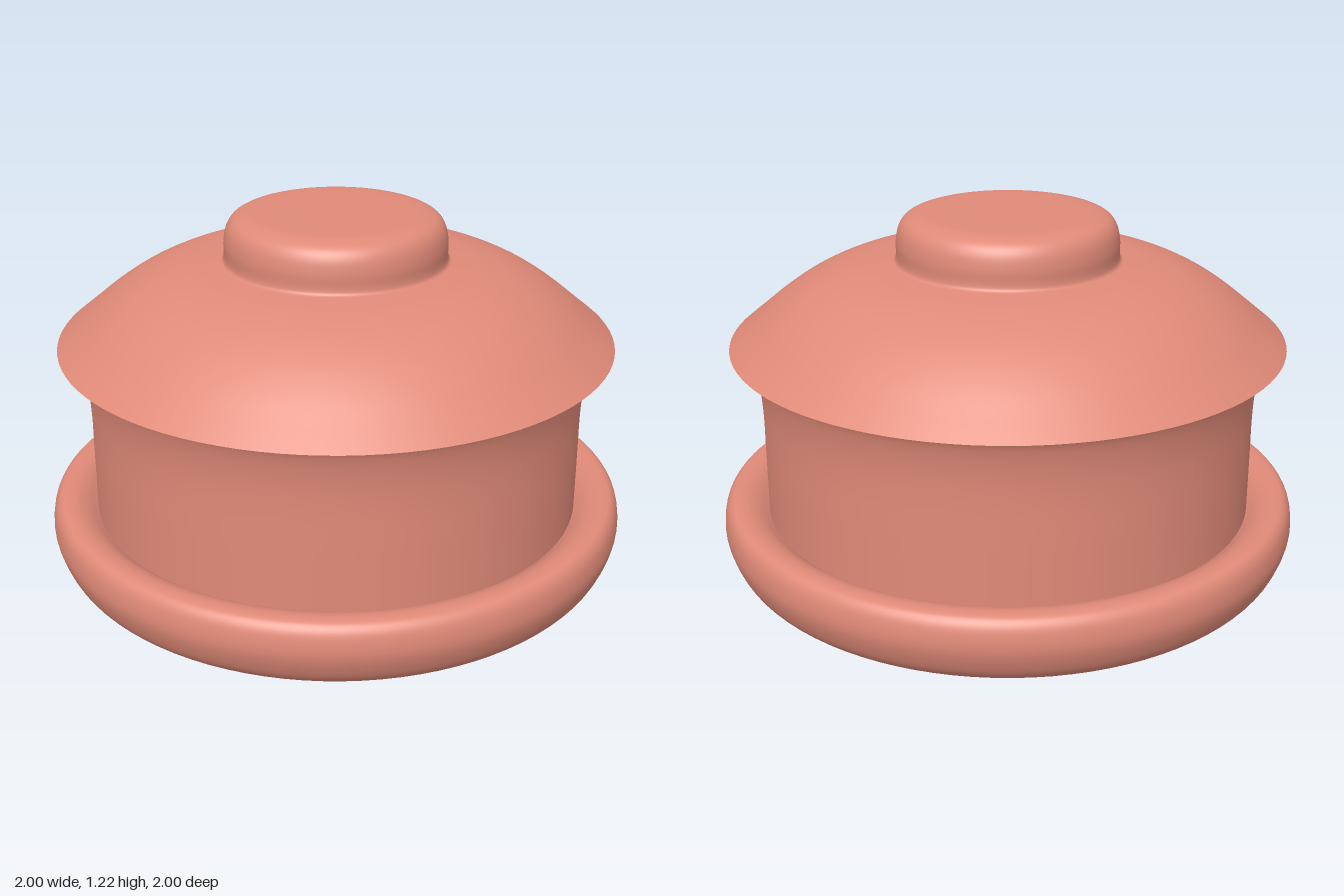
import * as THREE from 'three';

const SEGMENTS = 96;

export function createModel() {
  const group = new THREE.Group();
  const clay = new THREE.MeshStandardMaterial({ color: 0xe08a78, side: THREE.DoubleSide });

  // Smooth curve through [radius, height] points, listed so the outside lies to the right of the path
  const curve = (points, steps) =>
    new THREE.SplineCurve(points.map(([r, y]) => new THREE.Vector2(r, y))).getPoints(steps)
      .map((p) => p.setX(Math.max(p.x, 0)));

  const turned = (name, points, steps = 40) => {
    const mesh = new THREE.Mesh(new THREE.LatheGeometry(curve(points, steps), SEGMENTS), clay);
    mesh.name = name;
    group.add(mesh);
  };

  // Hollow underside, a low dome from the middle of the ceiling down to the rim
  turned('cavity', [
    [0, 0.7], [0.18, 0.69], [0.34, 0.66], [0.5, 0.6], [0.63, 0.52], [0.73, 0.41],
    [0.785, 0.28], [0.805, 0.19], [0.81, 0.12],
  ]);

  // Rounded foot ring, its top dipping into a groove at the wall
  turned('footRing', [
    [0.81, 0.12], [0.825, 0.06], [0.86, 0.02], [0.9, 0.002], [0.93, 0.01], [0.965, 0.045],
    [0.99, 0.1], [1, 0.15], [0.993, 0.205], [0.975, 0.235], [0.95, 0.245],
    [0.915, 0.243], [0.88, 0.228], [0.845, 0.2],
  ], 64);

  // Straight wall flaring out under the eave
  turned('wall', [
    [0.845, 0.2], [0.845, 0.4], [0.845, 0.55], [0.851, 0.65], [0.866, 0.73],
    [0.885, 0.77], [0.91, 0.785], [0.945, 0.789],
  ], 48);

  // Domed lid with a sharp eave
  turned('lid', [
    [0.945, 0.789], [0.88, 0.843], [0.79, 0.917], [0.7, 0.977], [0.6, 1.023],
    [0.5, 1.049], [0.44, 1.057], [0.385, 1.063],
  ]);

  // Flat round knob with a soft fillet at its foot
  turned('knob', [
    [0.4, 1.06], [0.382, 1.066], [0.376, 1.085], [0.376, 1.13], [0.367, 1.175], [0.346, 1.205],
    [0.31, 1.22], [0.26, 1.225], [0.13, 1.225], [0, 1.225],
  ], 56);

  return group;
}
